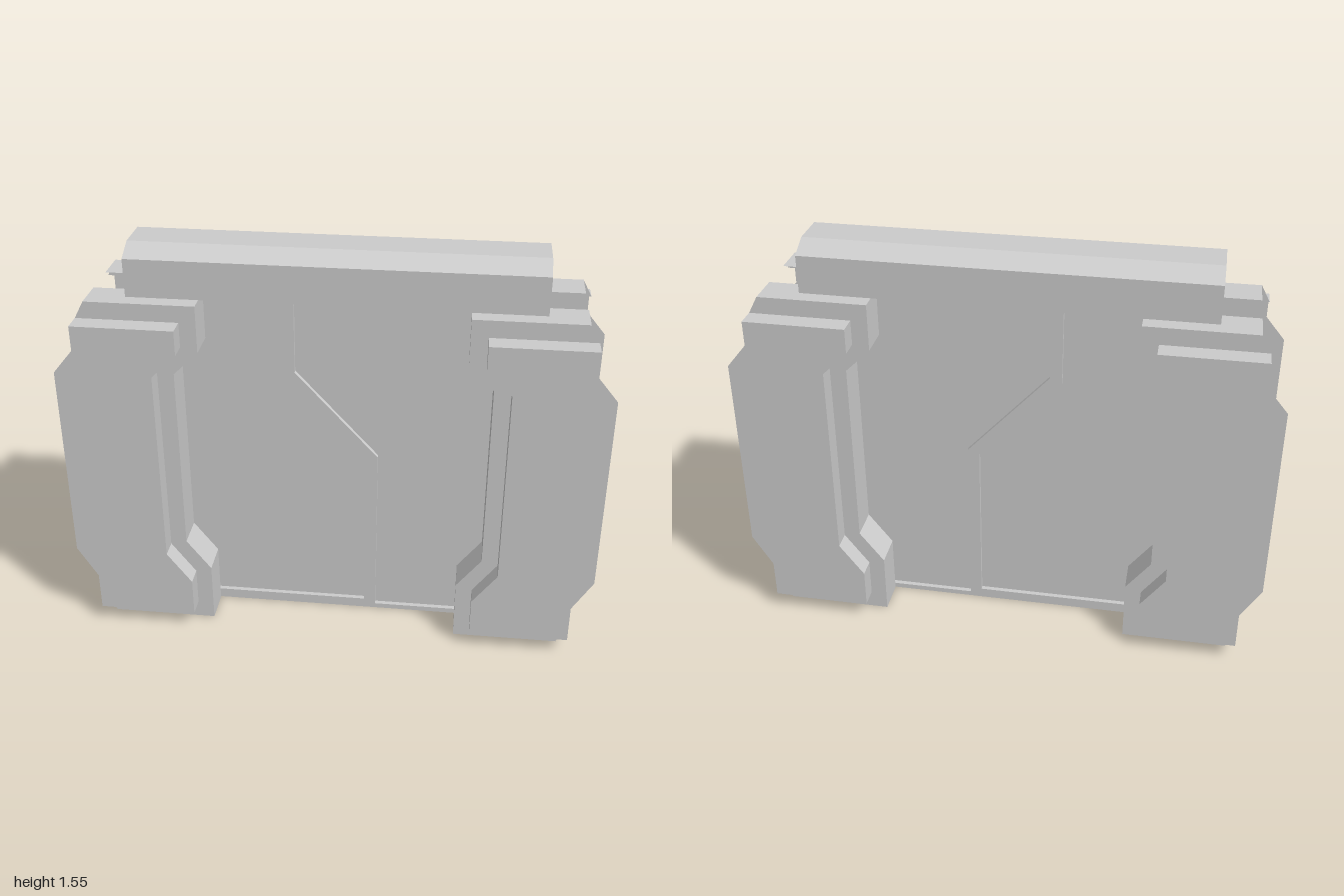
import * as THREE from 'three';

const material = new THREE.MeshStandardMaterial({ color: 0xcccccc, side: THREE.DoubleSide, flatShading: true });

function mesh(name, geometry) {
  const m = new THREE.Mesh(geometry, material);
  m.name = name;
  return m;
}

const toShape = (pts) => new THREE.Shape(pts.map(([x, y]) => new THREE.Vector2(x, y)));

// Flat sheet facing z
function sheet(name, pts, z) {
  return mesh(name, new THREE.ShapeGeometry(toShape(pts)).translate(0, 0, z));
}

// Wall that follows a path in xy and spans z0 to z1
function wall(name, pts, z0, z1) {
  const pos = [];
  for (let i = 0; i < pts.length - 1; i++) {
    const [ax, ay] = pts[i], [bx, by] = pts[i + 1];
    pos.push(ax, ay, z0, bx, by, z0, bx, by, z1, ax, ay, z0, bx, by, z1, ax, ay, z1);
  }
  const g = new THREE.BufferGeometry();
  g.setAttribute('position', new THREE.Float32BufferAttribute(pos, 3));
  g.computeVertexNormals();
  return mesh(name, g);
}

function extrude(name, pts, z, depth) {
  const g = new THREE.ExtrudeGeometry(toShape(pts), { depth, bevelEnabled: false });
  return mesh(name, g.translate(0, 0, z));
}

// Stepped jamb: hollow inner and outer plates, open on the outer side
function createJamb() {
  const jamb = new THREE.Group();
  const inner = [[0.89, 1.365], [0.485, 1.365], [0.485, 1.185], [0.578, 1.095],
    [0.578, 0.362], [0.485, 0.24], [0.485, 0], [0.89, 0]];
  const outer = [[0.925, 1.3], [0.547, 1.3], [0.547, 1.205], [0.64, 1.115],
    [0.64, 0.347], [0.547, 0.222], [0.547, 0.07], [0.925, 0.07]];
  const outerEdge = [[0.925, 0.222], [1, 0.347], [1, 1.115], [0.925, 1.205]];
  jamb.add(
    wall('innerPlateWall', inner, 0.075, 0.208),
    sheet('innerPlateRim', [...inner, ...[...outer].reverse()], 0.208),
    wall('outerPlateWall', outer, 0.208, 0.283),
    sheet('outerPlateFace', [...outer, ...outerEdge], 0.283),
  );
  return jamb;
}

// Two door leaves split by a stepped seam
function createDoor() {
  const door = new THREE.Group();
  door.name = 'door';
  const w = 0.61, top = 1.4, zPanel = 0.055, zTrim = 0.073;
  const seamLeft = [[-0.2, 1.385], [-0.2, 1.04], [0.115, 0.7], [0.115, 0.04]];
  const seamRight = [[0.16, 0.02], [0.16, 0.716], [-0.155, 1.06], [-0.155, 1.385]];
  const trim = [[-w, top], [-w, 1.385], ...seamLeft, [-w, 0.04], [-w, 0],
    [w, 0], [w, 0.02], ...seamRight, [w, 1.385], [w, top]];
  const panel = [[-w, 0], [w, 0], [w, top], [-w, top]];
  for (const s of [1, -1]) {
    door.add(sheet('doorPanel', panel, s * zPanel));
    door.add(extrude('doorTrim', trim, s > 0 ? zPanel : -zTrim, zTrim - zPanel));
  }
  for (const seam of [seamLeft, seamRight]) door.add(wall('seamWall', seam, -zPanel, zPanel));
  return door;
}

// Chamfered bar across the top
function createTopBar() {
  const half = [[0.07, 1.405], [0.153, 1.367], [0.153, 1.51], [0.073, 1.55]];
  const profile = [...half, ...half.map(([z, y]) => [-z, y]).reverse()];
  const bar = extrude('topBar', profile, -0.75, 1.5);
  bar.rotation.y = Math.PI / 2;
  return bar;
}

export function createModel() {
  const model = new THREE.Group();
  model.name = 'slidingDoor';
  for (const sx of [1, -1]) {
    for (const sz of [1, -1]) {
      const jamb = createJamb();
      jamb.name = (sz > 0 ? 'front' : 'back') + (sx > 0 ? 'Left' : 'Right') + 'Jamb';
      jamb.scale.set(sx, 1, sz);
      model.add(jamb);
    }
  }
  model.add(createDoor(), createTopBar());
  return model;
}
